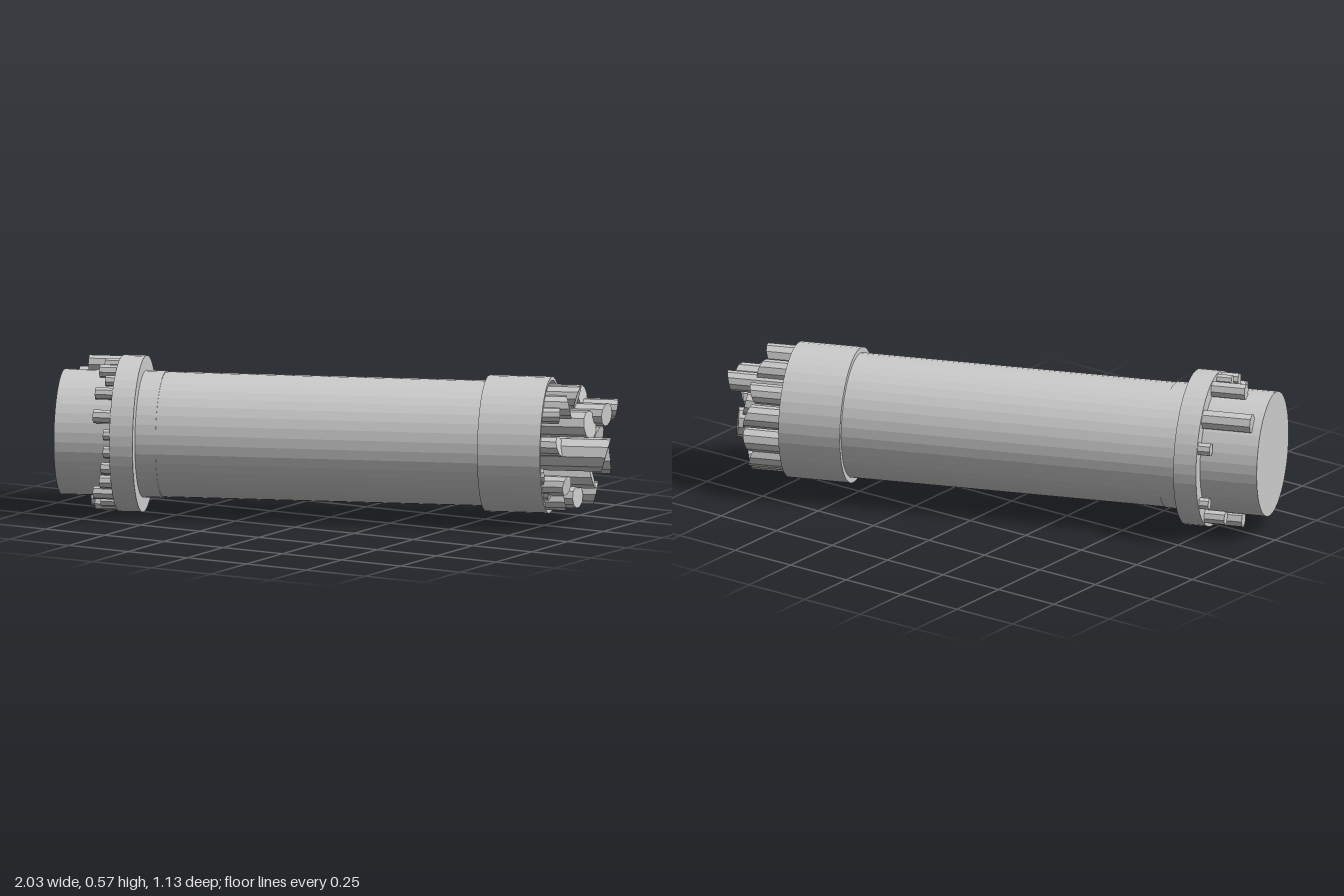
import * as THREE from 'three';

const grey = new THREE.MeshStandardMaterial({ color: 0xcccccc, flatShading: true });
grey.name = 'plain grey';

// Cylinder lying along the local x axis from x0 to x1, offset by y and z
function bar(name, x0, x1, r, sides, y = 0, z = 0) {
  const geo = new THREE.CylinderGeometry(r, r, x1 - x0, sides).rotateZ(-Math.PI / 2);
  const mesh = new THREE.Mesh(geo, grey);
  mesh.name = name;
  mesh.position.set((x0 + x1) / 2, y, z);
  return mesh;
}

export function createModel() {
  const model = new THREE.Group();
  model.name = 'fibreBundleTube';
  const tube = new THREE.Group();
  tube.name = 'tube';
  tube.rotation.y = THREE.MathUtils.degToRad(22);
  tube.position.set(0, 0.2845, -0.02);
  model.add(tube);

  // Main barrel, thin sleeve and wide flange
  tube.add(bar('barrel', -0.987, 0.74, 0.2275, 40));
  tube.add(bar('sleeve', -0.69, -0.615, 0.23, 40));
  tube.add(bar('flange', -0.775, -0.69, 0.2835, 48));

  // Hollow collar holding the rods
  const profile = [[0.22, 0.565], [0.2475, 0.565], [0.2475, 0.795], [0.234, 0.795], [0.234, 0.73]];
  const collarGeo = new THREE.LatheGeometry(profile.map(p => new THREE.Vector2(...p)), 40);
  const collar = new THREE.Mesh(collarGeo.rotateZ(-Math.PI / 2), grey);
  collar.name = 'collar';
  tube.add(collar);

  // Rods standing out of the collar: tip, y, z, radius
  const rods = [
    [0.90, 0.185, 0.043, 0.042], [0.88, 0.160, 0.11, 0.042], [1.00, 0.117, 0.002, 0.042],
    [1.02, 0.123, -0.09, 0.037], [0.93, 0.024, -0.17, 0.042], [0.93, -0.07, -0.155, 0.044],
    [1.00, -0.052, -0.043, 0.054], [0.95, 0.09, 0.073, 0.052], [1.02, -0.007, 0.135, 0.062],
    [0.95, -0.103, 0.025, 0.048], [0.88, -0.12, 0.16, 0.036], [0.85, 0.135, 0.155, 0.03],
    [0.86, 0.03, 0.195, 0.036], [0.82, -0.145, 0.15, 0.033], [0.86, -0.185, 0.10, 0.036],
    [0.90, -0.18, 0.037, 0.042], [0.95, -0.18, -0.054, 0.042], [0.92, -0.135, -0.13, 0.045],
    [0.97, 0.03, 0.0, 0.045], [0.80, -0.08, 0.2, 0.03], [0.90, 0.17, -0.075, 0.04],
    [0.91, 0.11, -0.16, 0.038], [0.96, 0.04, -0.09, 0.042],
  ];
  rods.forEach(([tip, y, z, r], i) => {
    const rod = bar('rod', 0.70, tip, r, 10, y, z);
    // slightly slanted cut at the tip
    const pos = rod.geometry.attributes.position;
    for (let k = 0; k < pos.count; k++) {
      if (pos.getX(k) > 0) {
        pos.setX(k, pos.getX(k) + 0.3 * (pos.getY(k) * Math.cos(i * 2.4) + pos.getZ(k) * Math.sin(i * 2.4)));
      }
    }
    tube.add(rod);
  });

  // Pegs behind the flange: angle from +z towards up, tip, radius
  const pegs = [
    [134, -0.955, 0.036], [100, -0.90, 0.03], [84, -0.83, 0.02], [70, -0.84, 0.024],
    [56, -0.81, 0.02], [43, -0.84, 0.022], [23, -0.84, 0.025], [8, -0.80, 0.02],
    [-6, -0.80, 0.022], [-20, -0.81, 0.022], [-34, -0.82, 0.024], [-48, -0.85, 0.024],
    [-62, -0.83, 0.022], [-76, -0.86, 0.026], [-100, -0.89, 0.03], [-125, -0.85, 0.026],
    [-150, -0.81, 0.022], [160, -0.82, 0.024],
  ];
  for (const [deg, tip, r] of pegs) {
    const a = THREE.MathUtils.degToRad(deg), d = 0.28 - r;
    tube.add(bar('peg', tip, -0.75, r, 8, d * Math.sin(a), d * Math.cos(a)));
  }
  return model;
}
